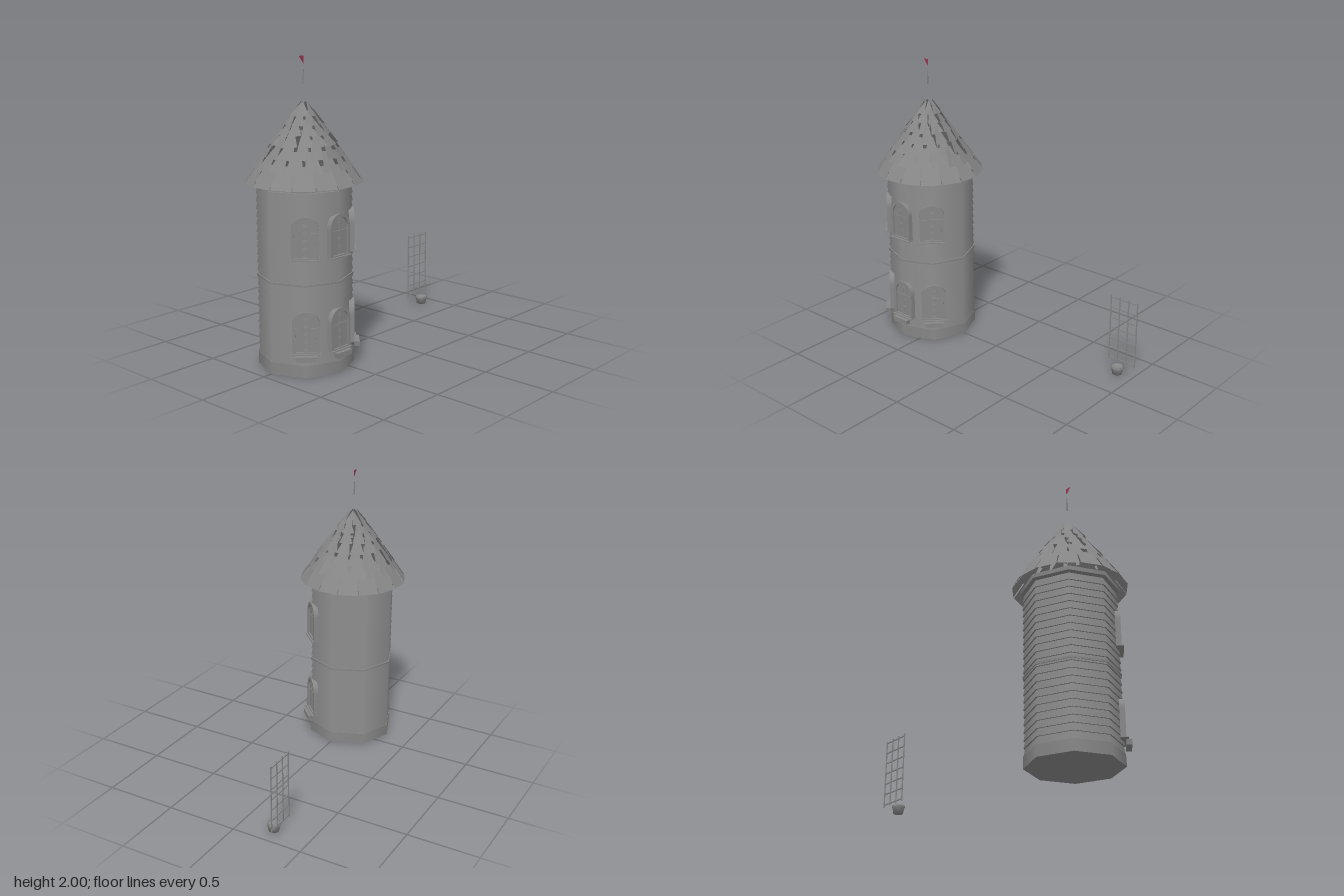
import * as THREE from 'three';

const stone = new THREE.MeshStandardMaterial({ color: 0x868686, side: THREE.DoubleSide });
stone.name = 'grey';
const red = new THREE.MeshStandardMaterial({ color: 0x9c3450, side: THREE.DoubleSide });
red.name = 'flag red';

function add(parent, name, geometry, x = 0, y = 0, z = 0, material = stone) {
  const m = new THREE.Mesh(geometry, material);
  m.name = name;
  m.position.set(x, y, z);
  parent.add(m);
  return m;
}

// Round-headed outline, bottom at y = 0
function arch(halfWidth, spring, bottom = 0, Type = THREE.Shape) {
  const s = new Type();
  s.moveTo(-halfWidth, bottom);
  s.lineTo(halfWidth, bottom);
  s.lineTo(halfWidth, spring);
  s.absarc(0, spring, halfWidth, 0, Math.PI, false);
  s.lineTo(-halfWidth, bottom);
  return s;
}

function makeWindow(withPlanter) {
  const g = new THREE.Group();
  g.name = 'window';
  const frame = arch(0.087, 0.187);
  frame.holes.push(arch(0.067, 0.187, 0.012, THREE.Path));
  add(g, 'windowFrame', new THREE.ExtrudeGeometry(frame, { depth: 0.035, bevelEnabled: false, curveSegments: 10 }), 0, 0, 0.28);
  add(g, 'windowPane', new THREE.ShapeGeometry(arch(0.07, 0.187), 10), 0, 0, 0.303);
  add(g, 'mullion', new THREE.BoxGeometry(0.006, 0.24, 0.006), 0, 0.13, 0.305);
  add(g, 'crossbar', new THREE.BoxGeometry(0.136, 0.006, 0.006), 0, 0.165, 0.305);
  add(g, 'sill', new THREE.BoxGeometry(0.18, 0.007, 0.05), 0, 0, 0.305);
  if (withPlanter) {
    // Planter box narrowing towards its bottom
    const box = new THREE.BoxGeometry(0.135, 0.034, 0.036);
    const p = box.attributes.position;
    for (let i = 0; i < p.count; i++) if (p.getY(i) < 0) p.setX(i, p.getX(i) * 0.92);
    box.computeVertexNormals();
    add(g, 'planter', box, 0, -0.025, 0.332);
  }
  return g;
}

// Flat shingle tapering from its lower edge to its top
function shingleShape(width, topWidth, length) {
  const s = new THREE.Shape();
  s.moveTo(-width / 2, 0);
  s.lineTo(width / 2, 0);
  s.lineTo(topWidth / 2, length);
  s.lineTo(-topWidth / 2, length);
  s.closePath();
  return new THREE.ShapeGeometry(s);
}

function makeRoof() {
  const roof = new THREE.Group();
  roof.name = 'shingleRoof';
  let seed = 7;
  const rand = () => (seed = (seed * 16807) % 2147483647) / 2147483647;
  // y and radius of lower edge, count, width, top width, length
  const rows = [
    [1.21, 0.372, 16, 0.14, 0.1, 0.165],
    [1.305, 0.308, 16, 0.118, 0.05, 0.15],
    [1.38, 0.256, 15, 0.108, 0.03, 0.14],
    [1.45, 0.208, 13, 0.1, 0.022, 0.13],
    [1.515, 0.163, 11, 0.092, 0.016, 0.12],
    [1.575, 0.121, 9, 0.084, 0.012, 0.11],
    [1.63, 0.083, 8, 0.07, 0.008, 0.098],
  ];
  rows.forEach(([y, r, n, w, tw, len], row) => {
    const geo = shingleShape(w, tw, len);
    for (let i = 0; i < n; i++) {
      const spoke = new THREE.Group();
      spoke.name = 'shingleSpoke';
      spoke.rotation.y = ((i + (row % 2) / 2) / n) * Math.PI * 2;
      const s = add(spoke, 'shingle', geo, 0, y, r);
      // Lean to the roof pitch, with a small twist on the upper rows
      const loose = row === 0 ? 0.05 : 0.3;
      s.rotation.set(-0.6, (rand() - 0.3) * loose, (rand() - 0.5) * loose, 'XYZ');
      roof.add(spoke);
    }
  });
  return roof;
}

function makeTower() {
  const tower = new THREE.Group();
  tower.name = 'tower';
  add(tower, 'base', new THREE.CylinderGeometry(0.311, 0.313, 0.08, 8), 0, 0.04, 0);

  // Overlapping clapboards
  const boards = 22, step = 0.05;
  for (let i = 0; i < boards; i++) {
    add(tower, 'clapboard', new THREE.CylinderGeometry(0.299, 0.309, step, 8), 0, 0.08 + step * (i + 0.5), 0);
  }
  add(tower, 'middleBand', new THREE.CylinderGeometry(0.312, 0.312, 0.014, 8), 0, 0.6, 0);
  add(tower, 'eaveRing', new THREE.CylinderGeometry(0.322, 0.322, 0.028, 8), 0, 1.204, 0);

  // Three windows on each floor
  for (const y of [0.16, 0.767]) {
    for (const side of [-1, 0, 1]) {
      const w = makeWindow(y < 0.5);
      w.position.y = y;
      w.rotation.y = side * Math.PI / 4;
      tower.add(w);
    }
  }

  tower.add(makeRoof());
  add(tower, 'flagPole', new THREE.CylinderGeometry(0.003, 0.005, 0.095, 6), 0, 1.873, 0);
  const flag = new THREE.Shape();
  flag.moveTo(-0.034, 2);
  flag.lineTo(0.006, 1.95);
  flag.lineTo(0.008, 2);
  flag.closePath();
  add(tower, 'flag', new THREE.ShapeGeometry(flag), 0, 0, 0, red);
  return tower;
}

function makeTrellis() {
  const trellis = new THREE.Group();
  trellis.name = 'trellis';
  for (let i = 0; i < 4; i++) {
    add(trellis, 'trellisUpright', new THREE.BoxGeometry(0.007, 0.485, 0.006), -0.105 + i * 0.07, 0.303, 0);
  }
  for (let i = 0; i < 7; i++) {
    add(trellis, 'trellisRail', new THREE.BoxGeometry(0.22, 0.007, 0.006), 0, 0.075 + i * 0.0758, 0);
  }
  return trellis;
}

export function createModel() {
  const model = new THREE.Group();
  model.name = 'towerAndTrellis';
  const tower = makeTower();
  tower.position.x = -0.62;
  const trellis = makeTrellis();
  trellis.position.set(0.882, 0, -0.285);
  model.add(tower, trellis);

  // Flower pot with a hollow rim
  const profile = [[0, 0], [0.034, 0], [0.041, 0.04], [0.045, 0.042], [0.045, 0.057], [0.038, 0.057], [0.036, 0.048], [0, 0.048]];
  add(model, 'flowerPot', new THREE.LatheGeometry(profile.map(([x, y]) => new THREE.Vector2(x, y)), 8), 0.882, 0, -0.237);
  return model;
}
